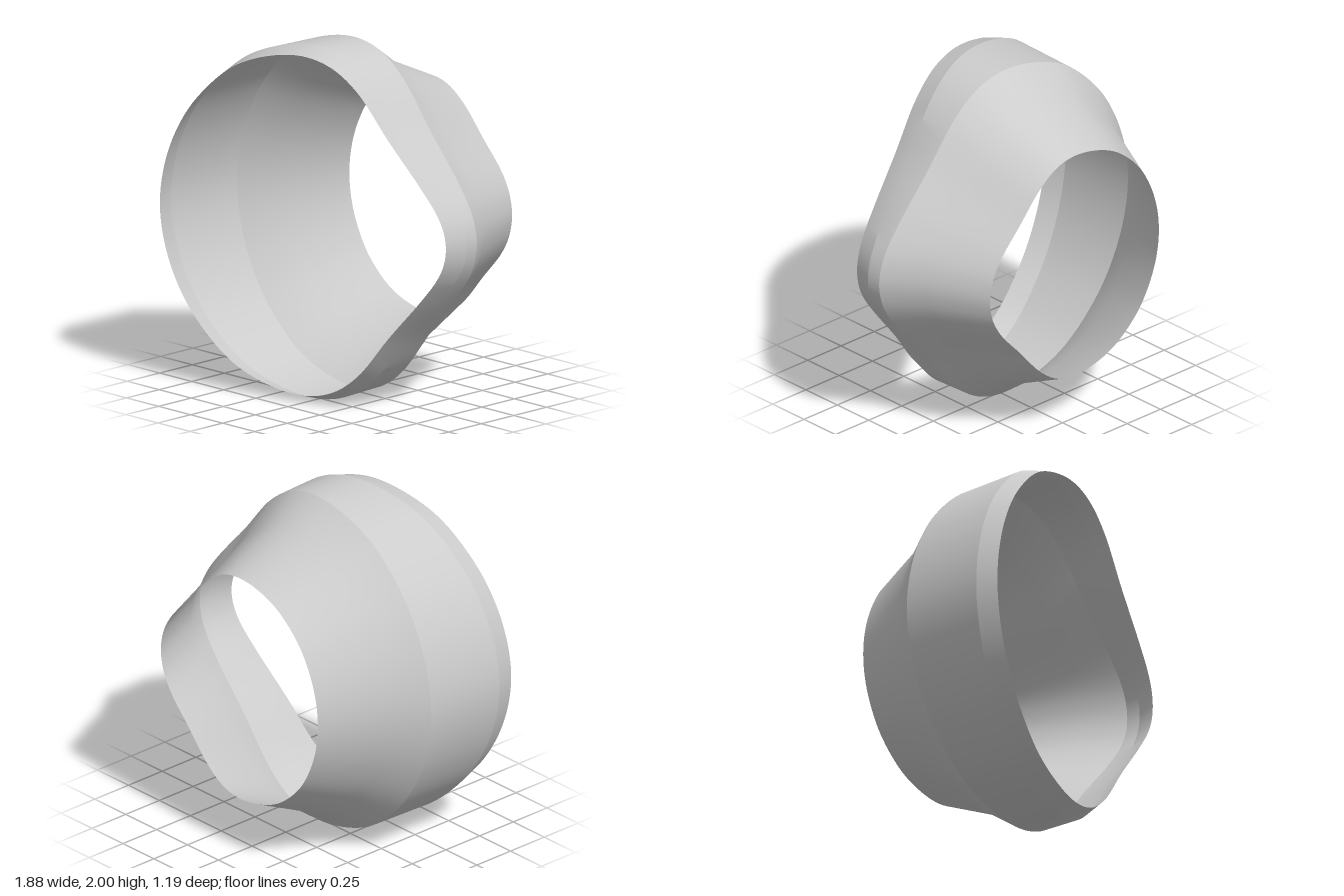
import * as THREE from 'three';
import { toCreasedNormals } from 'three/addons/utils/BufferGeometryUtils.js';

const SEGMENTS = 144;

// Upper half of the unit outline, from the +x bulge over the top to -x.
const frontOutline = [[1, 0], [0.983, 0.1], [0.935, 0.195], [0.82, 0.338], [0.6, 0.58], [0.38, 0.838],
  [0.2, 0.957], [0, 1], [-0.25, 0.967], [-0.5, 0.866], [-0.75, 0.645], [-0.89, 0.435], [-0.972, 0.215], [-1, 0]];
const backOutline = [[1, 0], [0.988, 0.1], [0.955, 0.205], [0.865, 0.35], [0.65, 0.575], [0.4, 0.835],
  [0.2, 0.962], [0, 1], [-0.25, 0.968], [-0.5, 0.87], [-0.75, 0.663], [-0.89, 0.45], [-0.973, 0.225], [-1, 0]];

// Rings from back to front: half width, half height, z at the middle, slope of z along x, blend towards the back outline.
const rings = [
  { rx: 0.635, ry: 0.675, z: -0.595, slope: 0, blend: 1 },
  { rx: 0.79, ry: 0.84, z: -0.235, slope: 0, blend: 0.6 },
  { rx: 0.935, ry: 0.99, z: -0.03, slope: 0, blend: 0.2 },
  { rx: 0.942, ry: 1.0, z: 0.262, slope: -0.223, blend: 0 },
  { rx: 0.905, ry: 0.96, z: 0.385, slope: -0.229, blend: 0 },
];

// Smooth closed cross-section, mirrored about the horizontal plane.
function ringPoints({ rx, ry, z, slope, blend }) {
  const half = frontOutline.map(([u, v], i) => new THREE.Vector3(
    rx * THREE.MathUtils.lerp(u, backOutline[i][0], blend),
    ry * THREE.MathUtils.lerp(v, backOutline[i][1], blend), 0));
  const lower = half.slice(1, -1).reverse().map((p) => new THREE.Vector3(p.x, -p.y, 0));
  const curve = new THREE.CatmullRomCurve3([...half, ...lower], true, 'centripetal');
  return Array.from({ length: SEGMENTS }, (_, i) => {
    const p = curve.getPoint(i / SEGMENTS);
    return [p.x, p.y + 1, z + slope * p.x];
  });
}

// Open sleeve lofted through the rings, with the two front folds kept crisp.
function loft() {
  const positions = rings.flatMap(ringPoints).flat();
  const index = [];
  for (let r = 0; r < rings.length - 1; r++) {
    for (let i = 0; i < SEGMENTS; i++) {
      const j = (i + 1) % SEGMENTS;
      const a = r * SEGMENTS + i, b = r * SEGMENTS + j;
      const c = a + SEGMENTS, d = b + SEGMENTS;
      index.push(a, b, d, a, d, c);
    }
  }
  const geometry = new THREE.BufferGeometry();
  geometry.setAttribute('position', new THREE.Float32BufferAttribute(positions, 3));
  geometry.setIndex(index);
  return toCreasedNormals(geometry, 0.27);
}

export function createModel() {
  const group = new THREE.Group();
  group.name = 'taperedSleeve';
  const grey = new THREE.MeshStandardMaterial({ color: 0xcccccc, side: THREE.DoubleSide });
  grey.name = 'light grey';
  const shell = new THREE.Mesh(loft(), grey);
  shell.name = 'sleeveShell';
  group.add(shell);
  return group;
}
